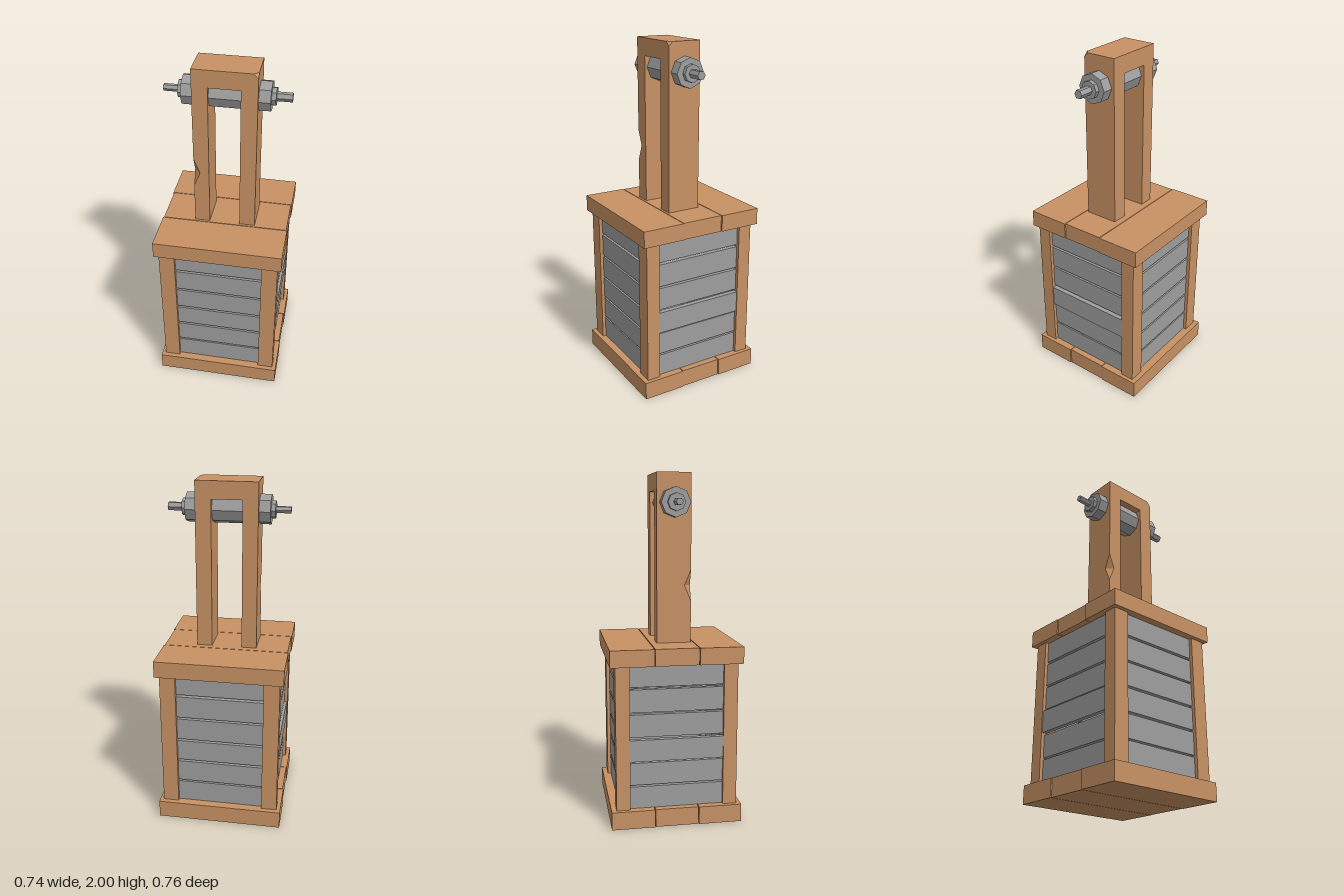
import * as THREE from 'three';
import { ConvexGeometry } from 'three/addons/geometries/ConvexGeometry.js';

export function createModel() {
  const model = new THREE.Group();
  const wood = new THREE.MeshStandardMaterial({ color: 0xc89264 });
  wood.name = 'wood';
  const metal = new THREE.MeshStandardMaterial({ color: 0x9e9e9e });
  metal.name = 'grey metal';

  const add = (name, geometry, material) => {
    const mesh = new THREE.Mesh(geometry, material);
    mesh.name = name;
    model.add(mesh);
    return mesh;
  };
  // Box given by its minimum and maximum on each axis
  const box = (name, material, x0, x1, y0, y1, z0, z1) =>
    add(name, new THREE.BoxGeometry(x1 - x0, y1 - y0, z1 - z0), material)
      .position.set((x0 + x1) / 2, (y0 + y1) / 2, (z0 + z1) / 2);
  const hull = (name, points) =>
    add(name, new ConvexGeometry(points.map((p) => new THREE.Vector3(...p))), wood);

  // Base and lid, three planks each
  for (const [name, y0, y1] of [['basePlank', 0, 0.105], ['lidPlank', 0.943, 1.04]]) {
    box(name, wood, -0.369, 0.368, y0, y1, -0.38, -0.131);
    box(name, wood, -0.364, 0.363, y0, y1, -0.127, 0.122);
    box(name, wood, -0.369, 0.368, y0, y1, 0.126, 0.376);
  }

  // Corner posts
  for (const sx of [-1, 1]) {
    for (const sz of [-1, 1]) {
      const x = sx * 0.3, z = sz * 0.31;
      box('cornerPost', wood, x - 0.046, x + 0.046, 0.105, 0.943, z - 0.04, z + 0.04);
    }
  }

  // Slatted walls with narrow gaps; the third side slat stands proud
  const slats = [[0.105, 0.235], [0.245, 0.376], [0.389, 0.516], [0.529, 0.661], [0.673, 0.806], [0.82, 0.943]];
  slats.forEach(([y0, y1], i) => {
    const out = i === 2 ? 0.341 : 0.326;
    for (const s of [-1, 1]) {
      const z = s * 0.315, x = s * (out - 0.015);
      box('wallSlat', metal, -0.255, 0.255, y0, y1, z - 0.015, z + 0.015);
      box('sideSlat', metal, x - 0.015, x + 0.015, y0, y1, -0.27, 0.27);
    }
  });

  // Right upright of the frame, with a chip out of its front edge
  const outer = -0.177, inner = -0.09, back = -0.09, front = 0.108, mid = 1.37;
  for (const [end, chip] of [[1.04, 1.28], [2, 1.46]]) {
    hull('chippedUpright', [
      [outer, end, back], [inner, end, back], [inner, end, front], [outer, end, front],
      [outer, mid, back], [inner, mid, back], [inner, mid, front],
      [-0.141, mid, front], [outer, mid, 0.07], [outer, chip, front],
    ]);
  }

  // Left upright, with its top front corner cut off
  hull('cutUpright', [
    [0.085, 1.04, back], [0.175, 1.04, back], [0.175, 1.04, front], [0.085, 1.04, front],
    [0.085, 2, back], [0.175, 2, back], [0.085, 2, front],
    [0.15, 2, front], [0.175, 2, 0.083], [0.175, 1.975, front],
  ]);
  box('crossBeam', wood, inner, 0.085, 1.9, 2, back, front);

  // Axle lying along x: drum, collars and thin tips
  const axle = (name, radius, sides, x0, x1) => {
    const geometry = new THREE.CylinderGeometry(radius, radius, x1 - x0, sides).toNonIndexed();
    geometry.rotateZ(Math.PI / 2);
    geometry.computeVertexNormals();
    add(name, geometry, metal).position.set((x0 + x1) / 2, 1.836, 0.01);
  };
  axle('axleDrum', 0.084, 8, -0.24, 0.238);
  axle('axleCollar', 0.05, 8, -0.264, -0.24);
  axle('axleCollar', 0.05, 8, 0.238, 0.262);
  axle('axleTip', 0.02, 6, -0.348, -0.264);
  axle('axleTip', 0.025, 6, 0.262, 0.346);

  return model;
}
